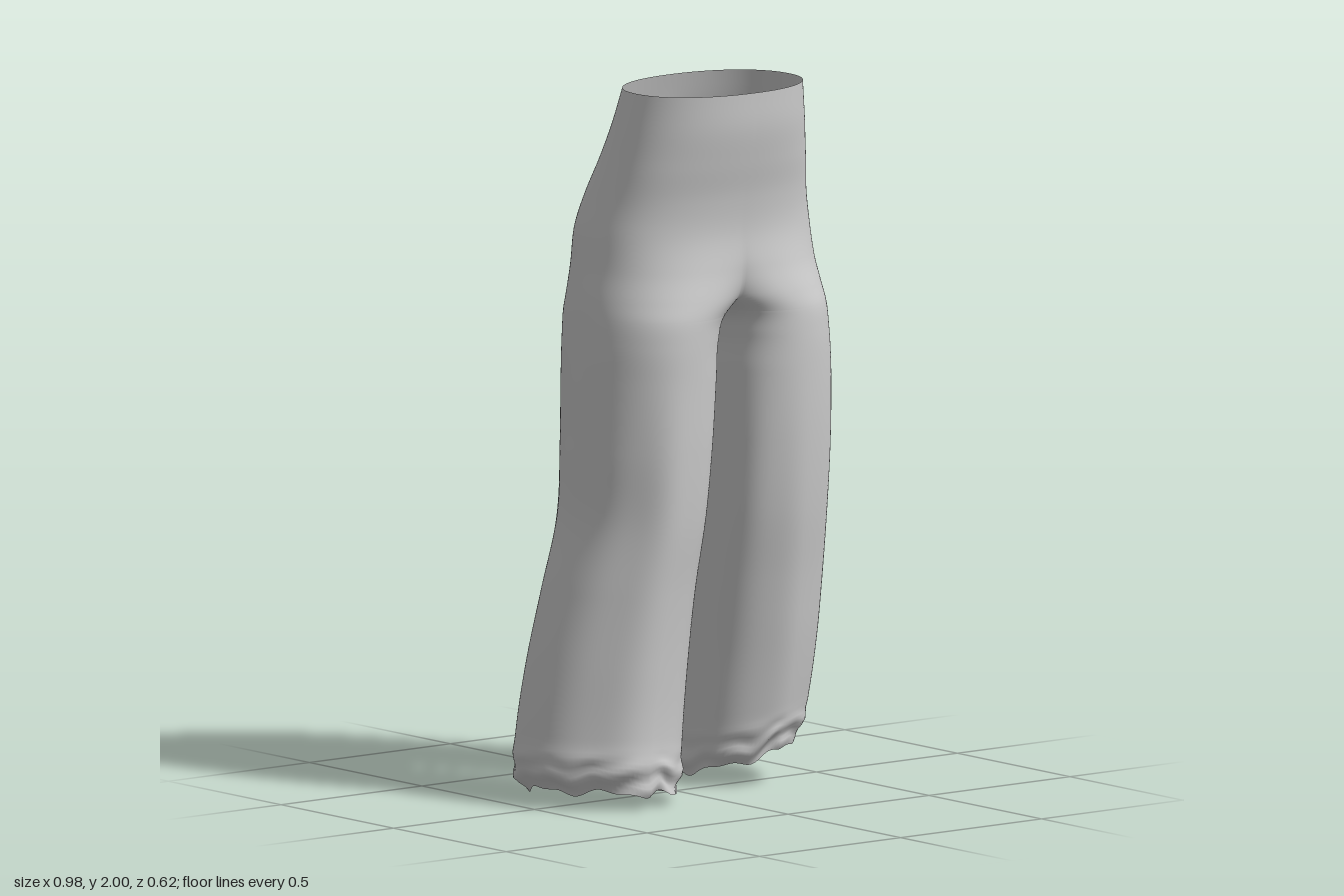
import * as THREE from 'three';
import { mergeGeometries, mergeVertices } from 'three/addons/utils/BufferGeometryUtils.js';

const MID = 0.038;     // x of the centre seam
const CROTCH = 1.37;   // height where the legs part
const HEM = 0.03;      // height of the lowest section
const COLS = 112, HIP_ROWS = 50, LEG_ROWS = 110;
const { smoothstep, lerp } = THREE.MathUtils;

// Sections: height, outer and inner reach from the centre seam, front z, back z.
// A negative inner reach crosses the seam, so the two halves join there.
const hips = [
  [2.0, 0.272, -0.272, 0.312, -0.077],
  [1.9, 0.289, -0.289, 0.306, -0.11],
  [1.8, 0.306, -0.306, 0.288, -0.152],
  [1.7, 0.325, -0.315, 0.267, -0.2],
  [1.6, 0.347, -0.285, 0.257, -0.227],
  [1.5, 0.362, -0.19, 0.266, -0.22],
  [1.42, 0.376, -0.075, 0.277, -0.21],
  [CROTCH, 0.382, 0, 0.281, -0.205],
  [1.3, 0.388, 0.027, 0.282, -0.2],
];
const rightLeg = [
  [1.2, 0.393, 0.032, 0.28, -0.198],
  [1.0, 0.4, 0.04, 0.275, -0.193],
  [0.8, 0.408, 0.048, 0.262, -0.195],
  [0.6, 0.45, 0.06, 0.24, -0.205],
  [0.4, 0.488, 0.066, 0.223, -0.215],
  [0.18, 0.515, 0.074, 0.212, -0.225],
  [0.1, 0.52, 0.08, 0.215, -0.228],
  [HEM, 0.485, 0.095, 0.2, -0.205],
];
const leftLeg = [
  [1.2, 0.397, 0.032, 0.28, -0.198],
  [1.0, 0.407, 0.034, 0.27, -0.205],
  [0.8, 0.417, 0.034, 0.25, -0.225],
  [0.6, 0.435, 0.036, 0.217, -0.25],
  [0.4, 0.445, 0.04, 0.186, -0.275],
  [0.18, 0.447, 0.042, 0.152, -0.293],
  [0.1, 0.44, 0.045, 0.138, -0.295],
  [HEM, 0.41, 0.06, 0.11, -0.275],
];

const power = (v, e) => Math.sign(v) * Math.abs(v) ** e;

// One half of the garment: an open arc above the crotch, a closed tube below it
function half(side, leg, { twist, bow, shear, lift, tiltSide, tiltFront, phase }) {
  const keys = [...hips, ...leg].reverse();
  const sections = new THREE.CubicInterpolant(keys.map(k => k[0]), keys.flatMap(k => k.slice(1)), 4);
  const positions = [], index = [];
  const rows = HIP_ROWS + LEG_ROWS;

  for (let i = 0; i <= rows; i++) {
    // Rows crowd towards the crotch and one lies exactly on it
    const t = i < HIP_ROWS
      ? CROTCH + (2 - CROTCH) * (1 - i / HIP_ROWS) ** 1.6
      : CROTCH + (HEM - CROTCH) * ((i - HIP_ROWS) / LEG_ROWS) ** 1.1;
    const [outer, inner, front, back] = sections.evaluate(t);
    const cu = (outer + inner) / 2, ru = (outer - inner) / 2;
    const cz = (front + back) / 2, rz = (front - back) / 2;

    const legness = 1 - smoothstep(t, 0.75, 1.34);
    const flare = 1 - smoothstep(t, 0.1, 1.3);
    const hem = 1 - smoothstep(t, HEM, 0.5);
    const cuff = 1 - smoothstep(t, 0.07, 0.16);
    const forkShift = 0.05 * (1 - smoothstep(t, CROTCH, 1.5)) * (1 - flare);
    const pelvis = smoothstep(t, 1.4, 1.62) * (1 - smoothstep(t, 1.7, 1.95));

    // Squareness: full front corners at the pelvis, slimmer inner sides on the legs
    const outerE = lerp(0.97, 0.92, smoothstep(t, 1.3, 1.7));
    const innerE = outerE + 0.17 * flare;
    const frontE = outerE - 0.2 * pelvis;
    const limit = i < HIP_ROWS ? Math.acos(Math.max(-1, power(-cu / ru, 1 / innerE))) : Math.PI;

    for (let j = 0; j <= COLS; j++) {
      const a = -limit + (2 * limit * j) / COLS;
      // Long vertical folds, a deeper groove behind, and crumpled cloth at the cuff
      const folds = legness * (0.014 * Math.sin(5 * a + phase) + 0.01 * Math.cos(8 * a + 2 * phase));
      const groove = -0.04 * flare * Math.exp(-(((a - 0.85) / 0.2) ** 2));
      const crumple = cuff * (0.03 * Math.sin(90 * t + 2 * Math.sin(2 * a + phase) + Math.sin(5 * a))
        + 0.015 * Math.sin(9 * a + 60 * t));
      const s = 1 + folds + groove + crumple;
      const ca = Math.cos(a), fa = -Math.sin(a);
      const c = power(ca, ca > 0 ? outerE : innerE) * s;
      const f = power(fa, fa > 0 ? frontE : outerE) * s;

      // The leg turns out, its back edge leans inwards and the fork sits forward
      const u = cu + ru * c - shear * flare * ((1 - f) / 2) ** 2 * (1 - Math.min(1, c * c));
      const z = cz + rz * f - flare * (twist * ru * c + bow * c * c)
        + forkShift * ((1 - c) / 2) ** 4
        + 0.022 * pelvis * Math.max(0, -f) * Math.exp(-((u / 0.06) ** 2));
      const ragged = cuff * (0.008 * Math.sin(7 * a + phase) + 0.005 * Math.sin(13 * a));
      const y = t + hem * (lift + tiltSide * c + tiltFront * f) + ragged;
      positions.push(MID + side * u, Math.max(0, y), z);
    }
  }

  for (let i = 0; i < rows; i++) {
    for (let j = 0; j < COLS; j++) {
      const p = i * (COLS + 1) + j, q = p + COLS + 1;
      if (side > 0) index.push(p, q, p + 1, p + 1, q, q + 1);
      else index.push(p, p + 1, q, p + 1, q + 1, q);
    }
  }
  const geometry = new THREE.BufferGeometry();
  geometry.setAttribute('position', new THREE.Float32BufferAttribute(positions, 3));
  geometry.setIndex(index);
  return geometry;
}

export function createModel() {
  const group = new THREE.Group();
  group.name = 'wideLegTrousers';

  // Both halves are welded along the seam so the shading runs across it
  const halves = [
    half(1, leftLeg, {
      twist: 0.13, bow: 0.035, shear: 0.025, lift: 0.045, tiltSide: 0.045, tiltFront: 0.025, phase: 0.6,
    }),
    half(-1, rightLeg, {
      twist: 0.14, bow: 0.025, shear: 0.04, lift: 0, tiltSide: 0.015, tiltFront: 0.012, phase: 2.1,
    }),
  ];
  const geometry = mergeVertices(mergeGeometries(halves), 1e-4);
  geometry.computeVertexNormals();

  const cloth = new THREE.Mesh(geometry, new THREE.MeshStandardMaterial({
    color: 0xcccccc, side: THREE.DoubleSide,
  }));
  cloth.name = 'trouserCloth';
  group.add(cloth);
  return group;
}
